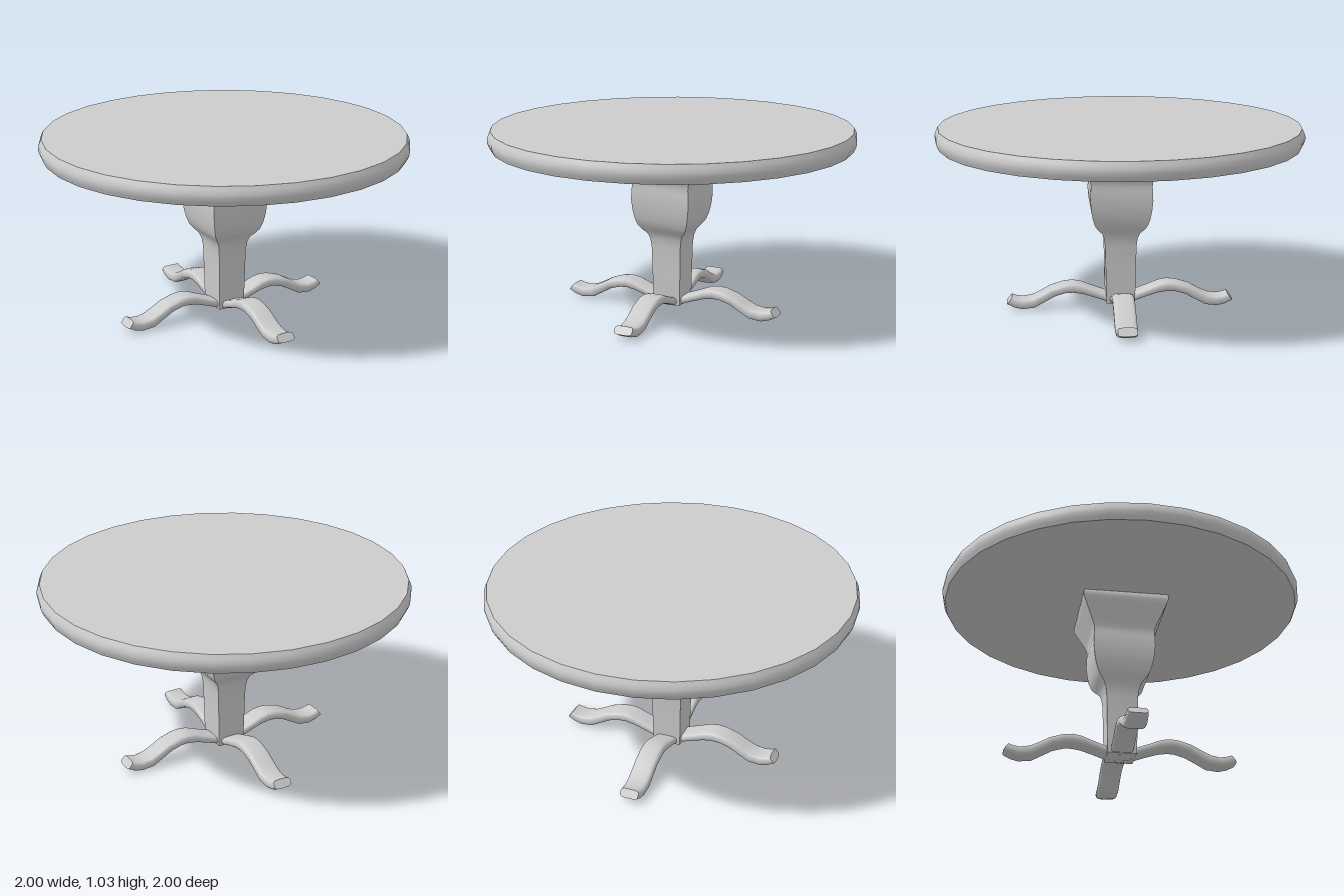
import * as THREE from 'three';
import { toCreasedNormals } from 'three/addons/utils/BufferGeometryUtils.js';

const material = new THREE.MeshStandardMaterial({ color: 0xcccccc });

function addMesh(parent, name, geometry) {
  const mesh = new THREE.Mesh(toCreasedNormals(geometry, 0.7), material);
  mesh.name = name;
  parent.add(mesh);
  return mesh;
}

// Turned shape from [half width, height] pairs, listed bottom to top.
function turned(profile, sides, scale = 1, start = 0) {
  const points = profile.map(([r, y]) => new THREE.Vector2(r * scale, y));
  return new THREE.LatheGeometry(points, sides, start);
}

// Curved foot running along +x: each station is [topX, topY, bottomX, bottomY, halfWidth].
function footGeometry() {
  const stations = [
    [0, 0.07, 0, 0.025, 0.06],
    [0.08, 0.088, 0.065, 0.037, 0.06],
    [0.16, 0.118, 0.145, 0.066, 0.06],
    [0.22, 0.142, 0.21, 0.086, 0.06],
    [0.265, 0.149, 0.26, 0.094, 0.06],
    [0.315, 0.144, 0.3, 0.093, 0.06],
    [0.385, 0.122, 0.36, 0.076, 0.06],
    [0.445, 0.089, 0.42, 0.043, 0.06],
    [0.49, 0.068, 0.475, 0.012, 0.06],
    [0.54, 0.06, 0.545, 0.004, 0.058],
    [0.575, 0.066, 0.59, 0.015, 0.056],
    [0.6, 0.075, 0.63, 0.035, 0.052],
  ];
  const sides = 20;
  const positions = [];
  const index = [];
  const soften = (v) => Math.sign(v) * Math.sqrt(Math.abs(v));
  for (const [tx, ty, bx, by, w] of stations) {
    for (let j = 0; j < sides; j++) {
      const a = (j / sides) * Math.PI * 2;
      const up = soften(Math.sin(a)) / 2;
      positions.push((tx + bx) / 2 + (tx - bx) * up, (ty + by) / 2 + (ty - by) * up, w * soften(Math.cos(a)));
    }
  }
  for (let i = 0; i < stations.length - 1; i++) {
    for (let j = 0; j < sides; j++) {
      const k = (j + 1) % sides;
      const a = i * sides + j, b = i * sides + k;
      index.push(a, a + sides, b, b, a + sides, b + sides);
    }
  }
  // Slanted flat toe
  const last = (stations.length - 1) * sides;
  for (let j = 1; j < sides - 1; j++) index.push(last, last + j + 1, last + j);

  const geometry = new THREE.BufferGeometry();
  geometry.setAttribute('position', new THREE.Float32BufferAttribute(positions, 3));
  geometry.setIndex(index);
  return geometry;
}

export function createModel() {
  const table = new THREE.Group();
  table.name = 'pedestalTable';

  // Round top with a softly bevelled rim
  addMesh(table, 'tableTop', turned([
    [0, 0.93], [0.982, 0.93], [0.992, 0.95], [0.999, 0.97],
    [0.999, 0.99], [0.992, 1.01], [0.982, 1.03], [0, 1.03],
  ], 32));

  // Square pedestal with a shaped silhouette
  addMesh(table, 'pedestal', turned([
    [0, 0.04], [0.078, 0.04], [0.08, 0.1], [0.083, 0.25], [0.086, 0.37],
    [0.092, 0.415], [0.103, 0.445], [0.125, 0.47], [0.142, 0.495], [0.155, 0.535],
    [0.164, 0.585], [0.169, 0.64], [0.168, 0.69], [0.165, 0.72], [0.168, 0.745],
    [0.18, 0.775], [0.224, 0.87], [0.234, 0.895], [0.235, 0.915], [0.228, 0.932], [0, 0.932],
  ], 4, Math.SQRT2, Math.PI / 4));

  // Four feet, one toward each side
  const foot = footGeometry();
  ['leftFoot', 'backFoot', 'rightFoot', 'frontFoot'].forEach((name, i) => {
    addMesh(table, name, foot).rotation.y = (i * Math.PI) / 2;
  });

  return table;
}
